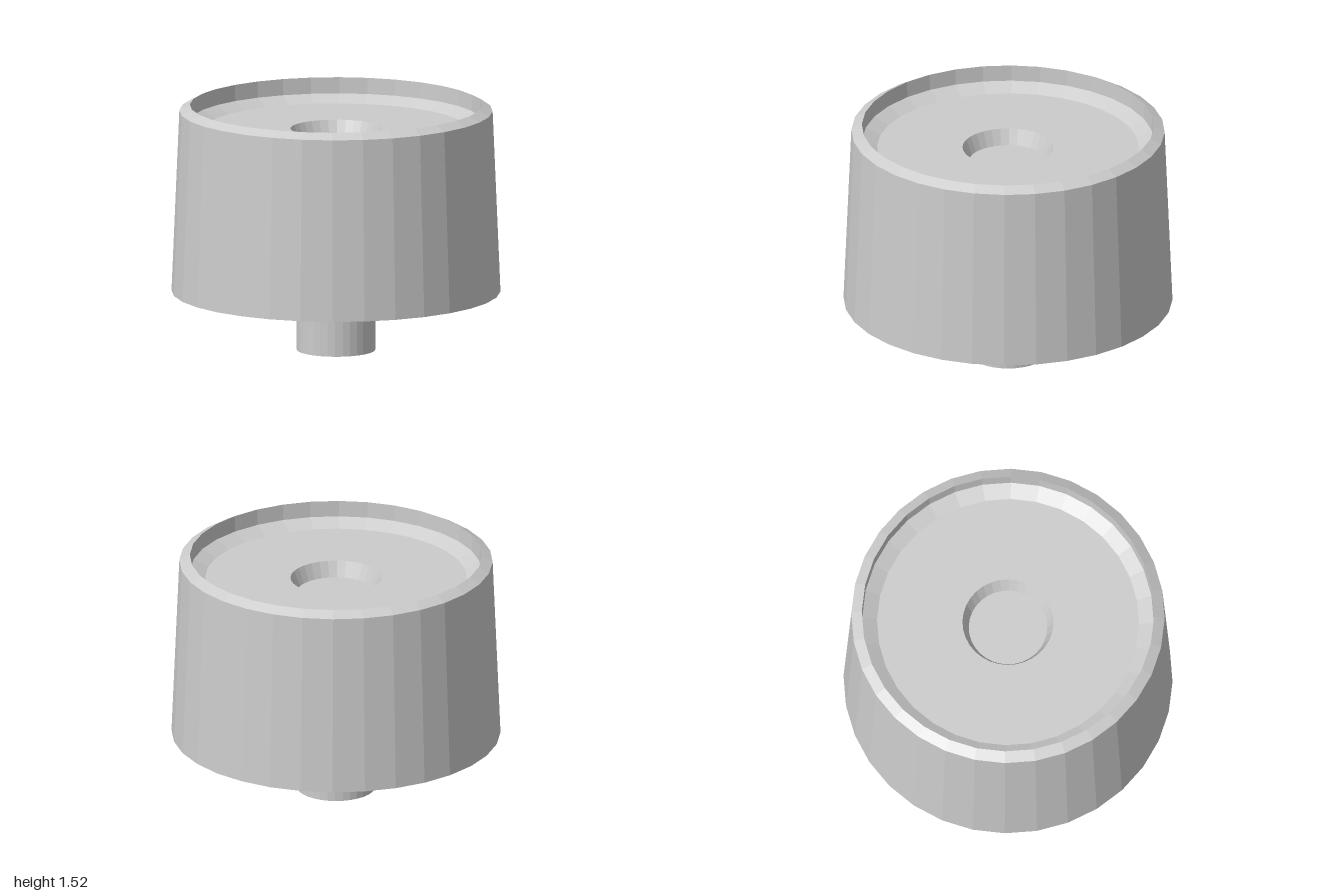
import * as THREE from 'three';

const SIDES = 32;

// Turns a profile of [radius, height] points; flats face the four axes.
function turned(name, profile, material) {
  const points = profile.map(([r, y]) => new THREE.Vector2(r, y));
  const geometry = new THREE.LatheGeometry(points, SIDES, Math.PI / SIDES);
  const mesh = new THREE.Mesh(geometry, material);
  mesh.name = name;
  return mesh;
}

export function createModel() {
  const group = new THREE.Group();
  group.name = 'stackableCap';
  const grey = new THREE.MeshStandardMaterial({ color: 0xcccccc, flatShading: true });

  // Hollow tapered body: stepped socket below, raised rim and dished floor above
  group.add(turned('body', [
    [0.24, 1.28], [0.8, 1.28],              // ceiling of the cavity
    [0.8, 0.575], [0.89, 0.545],            // inner wall and sloped step
    [0.955, 0.51], [1.0, 0.365],            // socket and thin skirt
    [1.005, 0.365], [0.957, 1.485],         // tapered outside
    [0.893, 1.52], [0.89, 1.42],            // bevelled rim and its inner wall
    [0.8, 1.375], [0.278, 1.375],           // sloped edge and floor
    [0.24, 1.28], [0, 1.28],                // countersunk well
  ], grey));

  // Central post, running from the underside of the well to the ground
  group.add(turned('post', [
    [0, 0], [0.24, 0], [0.24, 1.28],
  ], grey));

  return group;
}
